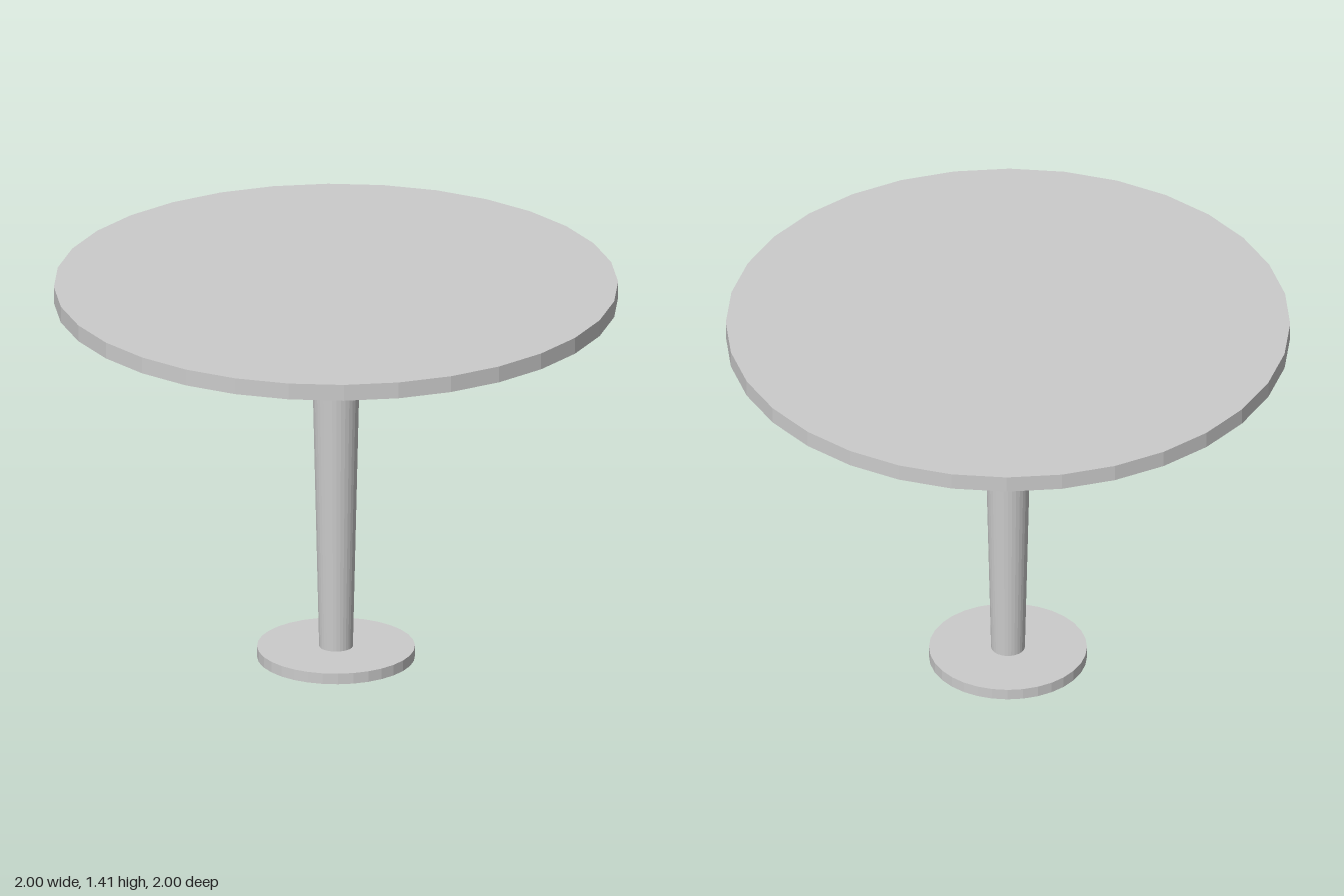
import * as THREE from 'three';

const SIDES = 32;

export function createModel() {
  const table = new THREE.Group();
  table.name = 'pedestalTable';
  const material = new THREE.MeshStandardMaterial({ color: 0xcccccc, flatShading: true });

  // Faceted round part spanning bottom to top
  function addRound(name, topRadius, bottomRadius, bottom, top) {
    const geometry = new THREE.CylinderGeometry(topRadius, bottomRadius, top - bottom, SIDES);
    const mesh = new THREE.Mesh(geometry, material);
    mesh.name = name;
    mesh.position.y = (bottom + top) / 2;
    table.add(mesh);
  }

  // Floor plate, tapered column widening upward, and round top
  addRound('base', 0.28, 0.28, 0, 0.04);
  addRound('column', 0.09, 0.06, 0.04, 1.35);
  addRound('tableTop', 1, 1, 1.35, 1.41);

  return table;
}
